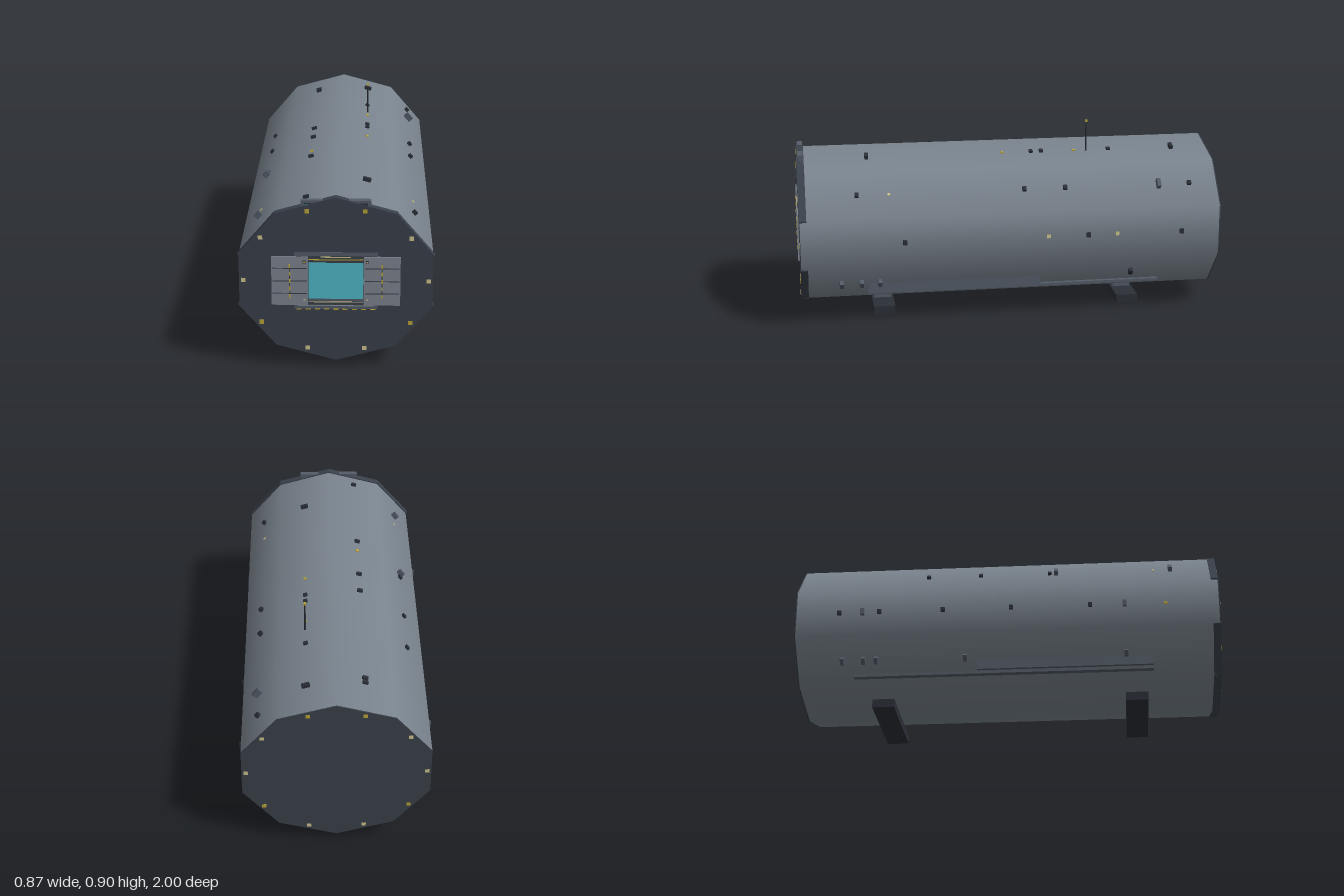
import * as THREE from 'three';

const RX = 0.44, RY = 0.375, CY = 0.41, SIDES = 10;

export function createModel() {
  const root = new THREE.Group();
  root.name = 'tenSidedModule';
  const mat = (name, color) => {
    const m = new THREE.MeshStandardMaterial({ color });
    m.name = name;
    return m;
  };
  const hull = mat('hullGrey', 0x7a848e);
  const dark = mat('darkPlate', 0x3a414b);
  const black = mat('blackMetal', 0x2b2f37);
  const mid = mat('midMetal', 0x545c68);
  const door = mat('doorGrey', 0x7e8591);
  const cyan = mat('cyanField', 0x4fbccd);
  const gold = mat('gold', 0xbca636);
  const pale = mat('paleLight', 0xcfc58c);

  const add = (name, geo, m, x, y, z, parent = root) => {
    const mesh = new THREE.Mesh(geo, m);
    mesh.name = name;
    mesh.position.set(x, y, z);
    parent.add(mesh);
  };
  // box given by its extents
  const box = (name, m, x0, x1, y0, y1, z0, z1, parent = root) =>
    add(name, new THREE.BoxGeometry(x1 - x0, y1 - y0, z1 - z0), m,
      (x0 + x1) / 2, (y0 + y1) / 2, (z0 + z1) / 2, parent);
  // ten-sided prism along z
  const prism = (name, m, z0, z1, open) => {
    const g = new THREE.CylinderGeometry(1, 1, z1 - z0, SIDES, 1, open);
    g.rotateX(-Math.PI / 2).scale(RX, RY, 1);
    add(name, g, m, 0, CY, (z0 + z1) / 2);
  };
  // group in the middle of one hull side, local +y pointing outward
  const corner = k => {
    const a = (k * 2 * Math.PI) / SIDES;
    return new THREE.Vector2(RX * Math.sin(a), CY + RY * Math.cos(a));
  };
  const onSide = (name, k, z) => {
    const a = corner(k), b = corner(k + 1), g = new THREE.Group();
    g.name = name;
    g.position.set((a.x + b.x) / 2, (a.y + b.y) / 2, z);
    g.rotation.z = Math.atan2(b.y - a.y, b.x - a.x);
    root.add(g);
    return g;
  };

  // hull and end plates
  prism('hull', hull, -0.995, 0.985, true);
  prism('frontPlate', dark, 0.984, 0.989, false);
  prism('backPlate', dark, -1, -0.994, false);

  // front collar bars and marker lights on both ends
  for (let k = 0; k < SIDES; k++) {
    if (k !== 2 && k !== 7) {
      const half = corner(k).distanceTo(corner(k + 1)) / 2 + 0.003;
      box('collarBar', dark, -half, half, -0.012, 0.005, -0.017, 0.017, onSide('collar', k, 0.971));
    }
    const a = ((k + 0.5) * 2 * Math.PI) / SIDES;
    const m = k % 3 === 0 ? gold : pale;
    for (const z of [0.989, -0.998])
      add('markerLight', new THREE.BoxGeometry(0.019, 0.019, 0.005), m,
        0.4 * Math.sin(a), CY + 0.336 * Math.cos(a), z);
  }

  // sensor housing on top of the collar
  box('topHousing', mid, -0.15, 0.15, 0.725, 0.775, 0.957, 0.983);
  box('topHousingSlot', black, -0.135, 0.135, 0.735, 0.763, 0.982, 0.985);
  box('topHousingLamp', cyan, -0.132, -0.117, 0.745, 0.757, 0.984, 0.987);

  // docking port: frame, opening, bright field
  box('portFrame', mid, -0.18, 0.18, 0.277, 0.542, 0.986, 0.991);
  box('portRecess', dark, -0.17, 0.17, 0.297, 0.525, 0.987, 0.992);
  box('portField', cyan, -0.118, 0.118, 0.326, 0.494, 0.988, 0.9935);
  box('portSill', mid, -0.118, 0.118, 0.313, 0.326, 0.988, 0.994);
  box('topGoldStrip', gold, -0.118, 0.118, 0.506, 0.51, 0.99, 0.994);
  box('topLightStrip', pale, -0.065, 0.065, 0.518, 0.522, 0.99, 0.994);
  box('sillLightStrip', pale, -0.118, 0.118, 0.309, 0.312, 0.99, 0.994);
  box('lowerTrim', door, -0.165, 0.165, 0.291, 0.295, 0.99, 0.993);
  for (let i = 0; i < 9; i++) {
    const x = -0.16 + i * 0.04;
    box('hazardDash', gold, x - 0.011, x + 0.011, 0.274, 0.278, 0.988, 0.994);
  }

  for (const s of [-1, 1]) {
    // sliding doors with grooves and dashes
    const panel = new THREE.Group();
    panel.name = s > 0 ? 'leftDoor' : 'rightDoor';
    root.add(panel);
    const plate = (name, m, x, y, w, h, z1) =>
      add(name, new THREE.BoxGeometry(w, h, z1 - 0.99), m, s * x, y, (z1 + 0.99) / 2, panel);
    plate('doorPanel', door, 0.199, 0.41, 0.158, 0.226, 0.997);
    for (const y of [0.352, 0.41, 0.469]) plate('doorGroove', dark, 0.199, y, 0.148, 0.004, 0.998);
    plate('doorSeam', dark, 0.199, 0.41, 0.004, 0.155, 0.9985);
    for (let i = 0; i < 5; i++) plate('doorDash', gold, 0.199, 0.34 + i * 0.035, 0.006, 0.017, 1);
    plate('doorLatch', black, 0.136, 0.499, 0.014, 0.014, 0.999);
    plate('doorLamp', s > 0 ? pale : gold, 0.136, 0.499, 0.008, 0.008, 1);
    plate('doorLowerLamp', pale, 0.136, 0.323, 0.007, 0.007, 1);

    // landing skids and pylons
    box('skid', black, -0.243, 0.243, 0, 0.04, s * 0.595 - 0.052, s * 0.595 + 0.052);
    box('skidPylon', mid, -0.11, 0.11, 0.038, 0.068, s * 0.595 - 0.042, s * 0.595 + 0.042);

    // lower side rail and cable duct
    box('sideRail', mid, s * 0.284 - 0.024, s * 0.284 + 0.024, 0.129, 0.141, -0.73, 0.675);
    box('sideDuct', mid, s * 0.32 - 0.008, s * 0.32 + 0.008, 0.143, 0.19, -0.145, 0.675);
  }

  // small fittings: rows of equal blocks along one hull side
  const row = (k, m, w, h, ...places) => {
    const d = Math.min(w, 0.018);
    for (const z of places)
      box('fittingBlock', m, -w / 2, w / 2, -0.006, h, -d / 2, d / 2, onSide('hullFitting', k, z));
  };
  // top
  row(0, black, 0.036, 0.017, -0.82, 0.66);
  row(0, black, 0.02, 0.01, -0.51, -0.18, -0.13);
  row(0, gold, 0.014, 0.005, -0.34, 0.01);
  row(9, black, 0.025, 0.012, -0.8, -0.77, -0.1, 0.04, 0.33, 0.88);
  row(9, gold, 0.016, 0.005, 0.25);
  // upper slopes
  row(1, black, 0.02, 0.016, -0.86, -0.26, -0.065, 0.72);
  row(1, mid, 0.042, 0.028, -0.71);
  row(1, pale, 0.012, 0.004, 0.57);
  row(8, black, 0.02, 0.012, -0.38, -0.13, 0.2);
  row(8, mid, 0.032, 0.024, 0.23, 0.77);
  row(8, pale, 0.01, 0.004, 0.69);
  // upright sides
  row(2, black, 0.022, 0.014, -0.81, -0.36, 0.505);
  row(2, pale, 0.018, 0.004, -0.5, -0.17);
  row(7, black, 0.02, 0.013, -0.79, -0.6, -0.3, 0.02, 0.39);
  row(7, mid, 0.028, 0.02, -0.68, 0.55);
  row(7, gold, 0.014, 0.004, 0.74);
  // lower slopes
  row(3, mid, 0.036, 0.022, 0.8, 0.705, 0.62);
  row(3, black, 0.032, 0.02, -0.585);
  row(6, mid, 0.032, 0.021, -0.78, -0.68, -0.62, -0.2, 0.55);

  // antenna with tip
  add('antennaMast', new THREE.CylinderGeometry(0.0035, 0.0045, 0.15, 8), black, 0.132, 0.82, -0.4);
  add('antennaTip', new THREE.BoxGeometry(0.011, 0.011, 0.011), gold, 0.132, 0.894, -0.4);

  return root;
}
